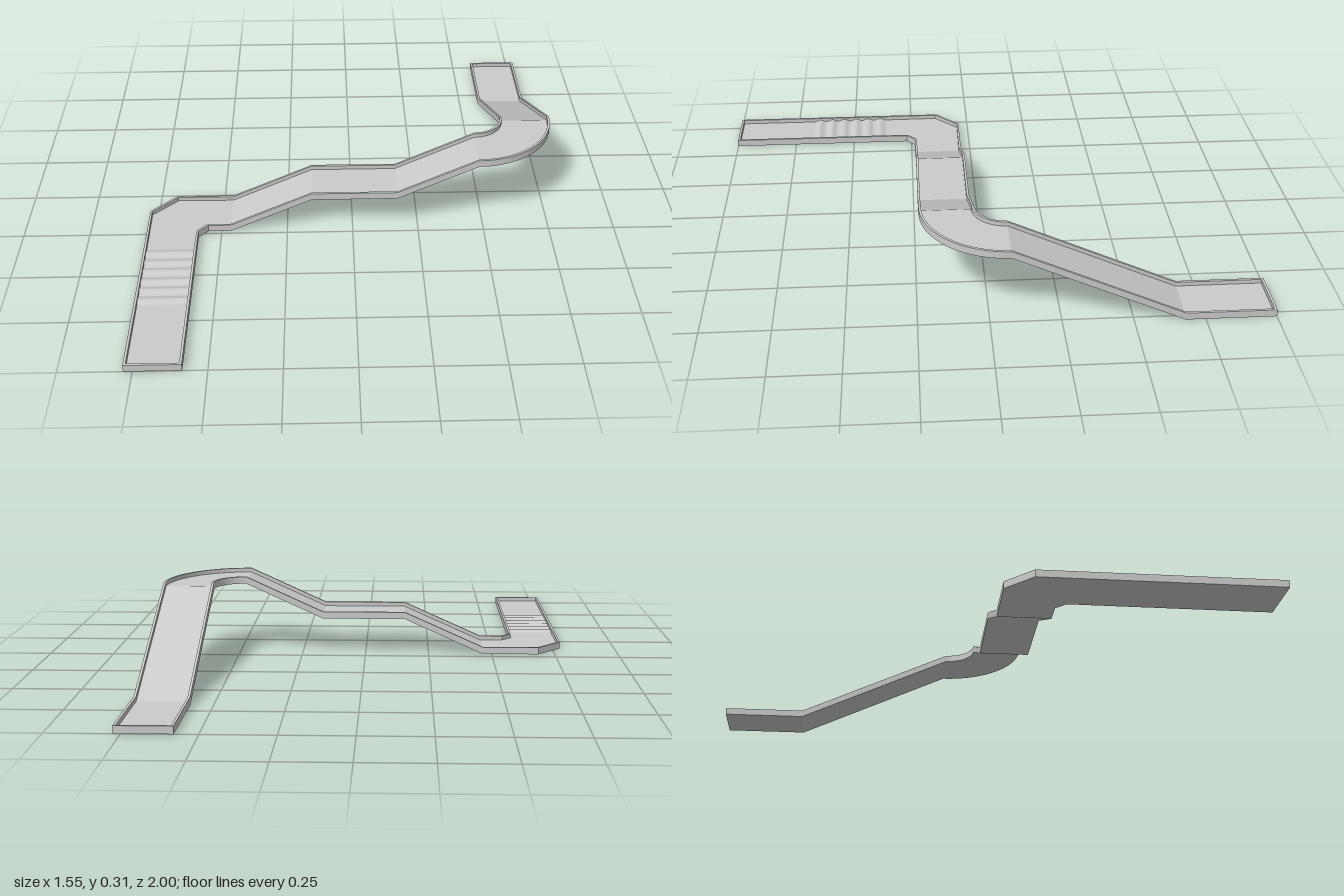
import * as THREE from 'three';
import { toCreasedNormals } from 'three/addons/utils/BufferGeometryUtils.js';

const H = 0.027;      // wall height
const FLOOR = 0.011;  // floor thickness
const T = 0.009;      // wall thickness
const material = new THREE.MeshStandardMaterial({ color: 0xcccccc });

// Station across the track: left edge, right edge, base height, floor bump.
const station = (lx, lz, rx, rz, y, bump = 0) => ({ lx, lz, rx, rz, y, bump });

// Sweeps a shallow U channel through a list of stations.
function channel(name, stations) {
  const rings = stations.map((s) => {
    const t = T / Math.hypot(s.rx - s.lx, s.rz - s.lz);
    const f = FLOOR + s.bump;
    const section = [[0, 0], [0, H], [t, H], [t, f], [1 - t, f], [1 - t, H], [1, H], [1, 0]];
    return section.map(([u, h]) => [s.lx + (s.rx - s.lx) * u, s.y + h, s.lz + (s.rz - s.lz) * u]);
  });
  const pos = [];
  for (let i = 0; i < rings.length - 1; i++) {
    for (let j = 0; j < 8; j++) {
      const k = (j + 1) % 8;
      const a = rings[i][j], b = rings[i][k], c = rings[i + 1][k], d = rings[i + 1][j];
      pos.push(...a, ...b, ...c, ...a, ...c, ...d);
    }
  }
  const geometry = new THREE.BufferGeometry();
  geometry.setAttribute('position', new THREE.Float32BufferAttribute(pos, 3));
  const mesh = new THREE.Mesh(toCreasedNormals(geometry, 0.35), material);
  mesh.name = name;
  return mesh;
}

// Wall closing one end of the track.
function endWall(name, x, z) {
  const mesh = new THREE.Mesh(new THREE.BoxGeometry(0.195, H, T), material);
  mesh.position.set(x, H / 2, z);
  mesh.name = name;
  return mesh;
}

export function createModel() {
  const group = new THREE.Group();
  group.name = 'track';

  const X0 = -0.78, X1 = -0.585;  // front lane
  const Z0 = 0.04, Z1 = 0.235;    // crossing lane
  const X2 = 0.58, X3 = 0.775;    // back lane
  const TOP = 0.279;

  // Front lane with a rippled stretch
  const lane = (z, bump) => station(X0, z, X1, z, 0, bump);
  const ripples = [];
  const count = 6, steps = 10, from = 0.68, to = 0.36;
  for (let i = 0; i <= count * steps; i++) {
    const bump = 0.0045 * (1 - Math.cos((i / steps) * Math.PI * 2));
    ripples.push(lane(from + (to - from) * i / (count * steps), bump));
  }
  group.add(channel('frontLane', [lane(1 - T), lane(from)]));
  group.add(channel('ripples', ripples));

  // Chamfered corner
  group.add(channel('chamferedCorner', [
    lane(to),
    station(X0, 0.135, X1, 0.27, 0),
    station(-0.685, Z0, -0.55, Z1, 0),
    station(-0.465, Z0, -0.465, Z1, 0),
  ]));

  // Crossing lane: ramp, landing, ramp
  const cross = (x, y) => station(x, Z0, x, Z1, y);
  group.add(channel('lowerRamp', [cross(-0.465, 0), cross(-0.155, 0.14)]));
  group.add(channel('landing', [cross(-0.155, 0.14), cross(0.168, 0.14)]));
  group.add(channel('upperRamp', [cross(0.168, 0.14), cross(0.47, TOP)]));

  // Rounded quarter turn at the top
  const cx = 0.47, cz = -0.07, inner = X2 - cx, outer = X3 - cx;
  const turn = [];
  for (let i = 0; i <= 24; i++) {
    const a = (i / 24) * Math.PI / 2, s = Math.sin(a), c = Math.cos(a);
    turn.push(station(cx + inner * s, cz + inner * c, cx + outer * s, cz + outer * c, TOP));
  }
  group.add(channel('roundedTurn', turn));

  // Long ramp down and back lane
  const back = (z, y) => station(X2, z, X3, z, y);
  group.add(channel('longRamp', [back(cz, TOP), back(-0.68, 0)]));
  group.add(channel('backLane', [back(-0.68, 0), back(-1 + T, 0)]));

  group.add(endWall('frontEndWall', (X0 + X1) / 2, 1 - T / 2));
  group.add(endWall('backEndWall', (X2 + X3) / 2, -1 + T / 2));
  return group;
}
